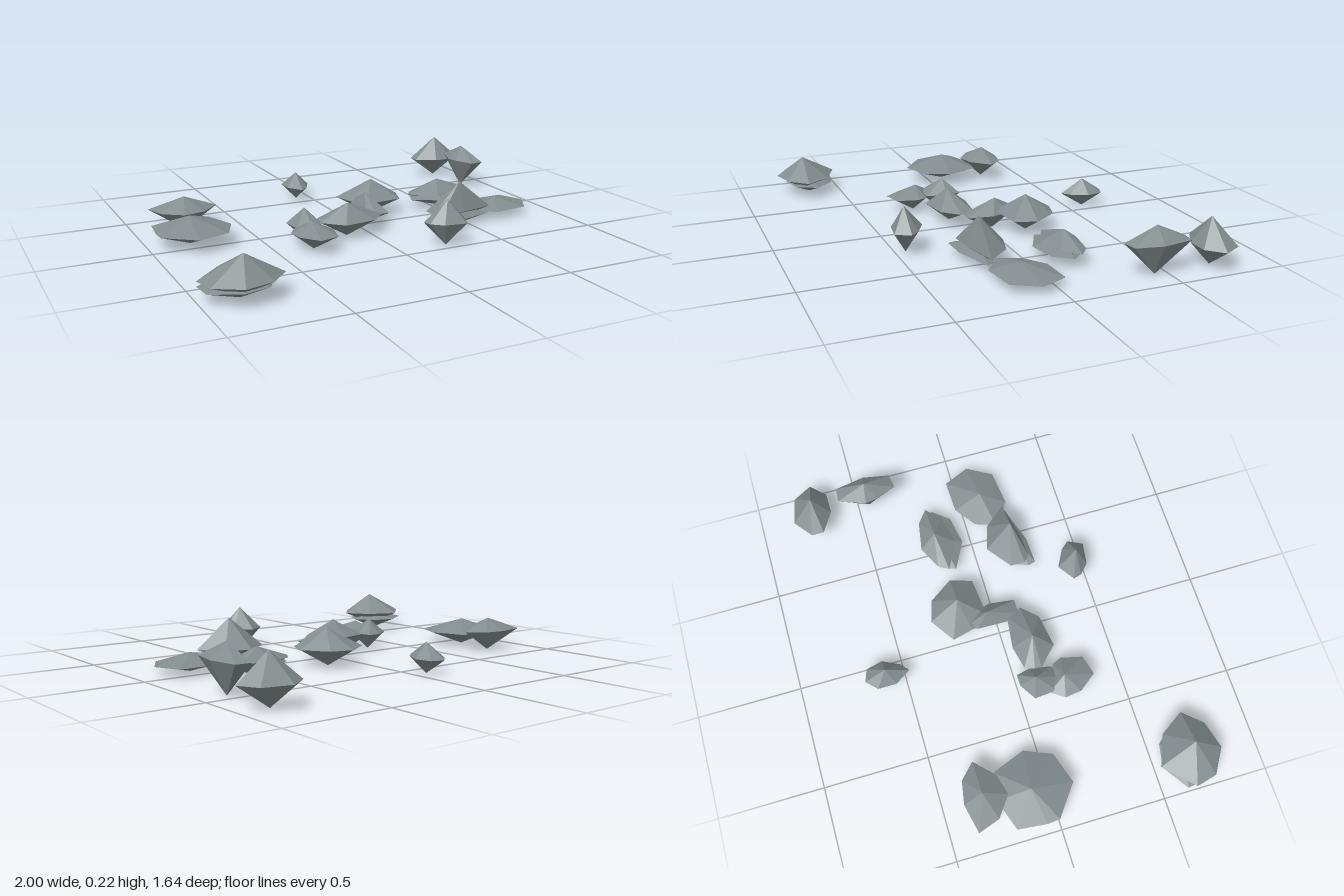
import * as THREE from 'three';

const stone = new THREE.MeshStandardMaterial({ color: 0x828c8e, flatShading: true });
stone.name = 'grey stone';

// Faceted stone: a girdle outline (x, z pairs, clockwise from above) at height
// girdleY, joined to a peak [x, y, z] above and a blunt point on the ground.
function rock(name, peak, girdleY, outline, bottomY = 0) {
  const n = outline.length / 2;
  const ring = [];
  let cx = 0, cz = 0;
  for (let i = 0; i < n; i++) {
    const x = outline[2 * i], z = outline[2 * i + 1];
    ring.push([x, girdleY, z]);
    cx += x / n;
    cz += z / n;
  }
  const foot = [(cx + peak[0]) / 2, bottomY, (cz + peak[2]) / 2];
  const pos = [];
  ring.forEach((p, i) => {
    const q = ring[(i + 1) % n];
    pos.push(...peak, ...q, ...p, ...foot, ...p, ...q);
  });
  const geo = new THREE.BufferGeometry();
  geo.setAttribute('position', new THREE.Float32BufferAttribute(pos, 3));
  geo.computeVertexNormals();
  const mesh = new THREE.Mesh(geo, stone);
  mesh.name = name;
  return mesh;
}

export function createModel() {
  const g = new THREE.Group();
  g.name = 'scatteredRocks';
  g.add(
    // Back left pair
    rock('backCornerRock', [0.86, 0.22, -0.72], 0.1,
      [0.73, -0.76, 0.82, -0.83, 0.95, -0.8, 1, -0.71, 0.93, -0.64, 0.83, -0.64, 0.73, -0.7]),
    rock('backNarrowRock', [0.87, 0.22, -0.445], 0.15,
      [0.8, -0.46, 0.85, -0.59, 0.92, -0.585, 0.945, -0.44, 0.92, -0.31, 0.85, -0.3, 0.81, -0.4]),
    // Lone pebble at the back
    rock('backPebble', [-0.07, 0.14, -0.585], 0.07,
      [-0.13, -0.64, -0.08, -0.69, -0.02, -0.67, 0, -0.59, -0.04, -0.51, -0.08, -0.475, -0.13, -0.55]),
    // Right side pair
    rock('rightBackRock', [-0.76, 0.16, -0.31], 0.1,
      [-0.92, -0.37, -0.78, -0.4, -0.67, -0.38, -0.6, -0.31, -0.69, -0.22, -0.79, -0.195, -0.885, -0.265]),
    rock('rightFlatRock', [-0.8, 0.13, -0.09], 0.07,
      [-0.965, -0.06, -0.95, -0.2, -0.8, -0.25, -0.67, -0.23, -0.61, -0.07, -0.665, 0.06, -0.815, 0.11, -0.96, 0]),
    // Front right boulder resting on a slab
    rock('frontRightRock', [-0.82, 0.19, 0.685], 0.09,
      [-1, 0.645, -0.87, 0.515, -0.725, 0.575, -0.65, 0.69, -0.73, 0.78, -0.86, 0.815, -0.975, 0.745], 0.02),
    rock('frontRightSlab', [-0.82, 0.1, 0.66], 0.055,
      [-0.99, 0.61, -0.87, 0.53, -0.76, 0.55, -0.68, 0.64, -0.73, 0.74, -0.85, 0.77, -0.98, 0.71]),
    // Chain of rocks in the middle
    rock('middleRightRock', [-0.31, 0.15, 0.085], 0.08,
      [-0.39, 0.06, -0.31, 0.01, -0.255, 0.01, -0.24, 0.08, -0.26, 0.18, -0.32, 0.205, -0.38, 0.17]),
    rock('middleFrontRock', [-0.33, 0.125, 0.22], 0.075,
      [-0.425, 0.2, -0.38, 0.135, -0.25, 0.19, -0.23, 0.235, -0.255, 0.34, -0.35, 0.365, -0.415, 0.28]),
    rock('middleRock', [-0.11, 0.16, 0.13], 0.08,
      [-0.255, 0.1, -0.23, 0.055, -0.12, 0.03, 0.04, 0.05, 0.07, 0.125, 0, 0.2, -0.16, 0.225, -0.25, 0.135]),
    rock('middleNarrowRock', [0.07, 0.145, -0.045], 0.075,
      [0.02, 0.055, 0.025, -0.1, 0.045, -0.175, 0.11, -0.105, 0.135, -0.015, 0.12, 0.11, 0.05, 0.11]),
    rock('middleBackRock', [0.16, 0.175, -0.165], 0.085,
      [0, -0.23, 0.12, -0.31, 0.225, -0.28, 0.305, -0.165, 0.27, -0.06, 0.08, -0.04, 0.025, -0.13]),
    // Left side rocks with thin slabs beneath
    rock('leftBackRock', [0.55, 0.13, -0.175], 0.07,
      [0.37, -0.15, 0.4, -0.2, 0.51, -0.255, 0.655, -0.23, 0.72, -0.18, 0.65, -0.11, 0.505, -0.08], 0.02),
    rock('leftBackSlab', [0.53, 0.1, -0.15], 0.05,
      [0.37, -0.115, 0.4, -0.19, 0.52, -0.22, 0.66, -0.2, 0.71, -0.15, 0.645, -0.07, 0.505, -0.045]),
    rock('leftPeakRock', [0.46, 0.21, 0.19], 0.07,
      [0.3, 0.22, 0.3, 0.15, 0.42, 0.06, 0.54, 0.095, 0.63, 0.2, 0.45, 0.24, 0.33, 0.25], 0.02),
    rock('leftPeakSlab', [0.45, 0.09, 0.2], 0.04,
      [0.29, 0.24, 0.32, 0.16, 0.42, 0.12, 0.54, 0.14, 0.62, 0.21, 0.43, 0.27, 0.3, 0.275]),
    rock('leftFlatRock', [0.72, 0.085, 0.11], 0.04,
      [0.55, 0.145, 0.585, 0.045, 0.69, -0.03, 0.85, -0.035, 0.905, 0.09, 0.835, 0.21, 0.66, 0.23]),
    // Front pebble
    rock('frontPebble', [0.23, 0.215, 0.455], 0.11,
      [0.13, 0.42, 0.21, 0.365, 0.295, 0.41, 0.33, 0.45, 0.295, 0.52, 0.19, 0.505, 0.14, 0.46]),
  );
  return g;
}
